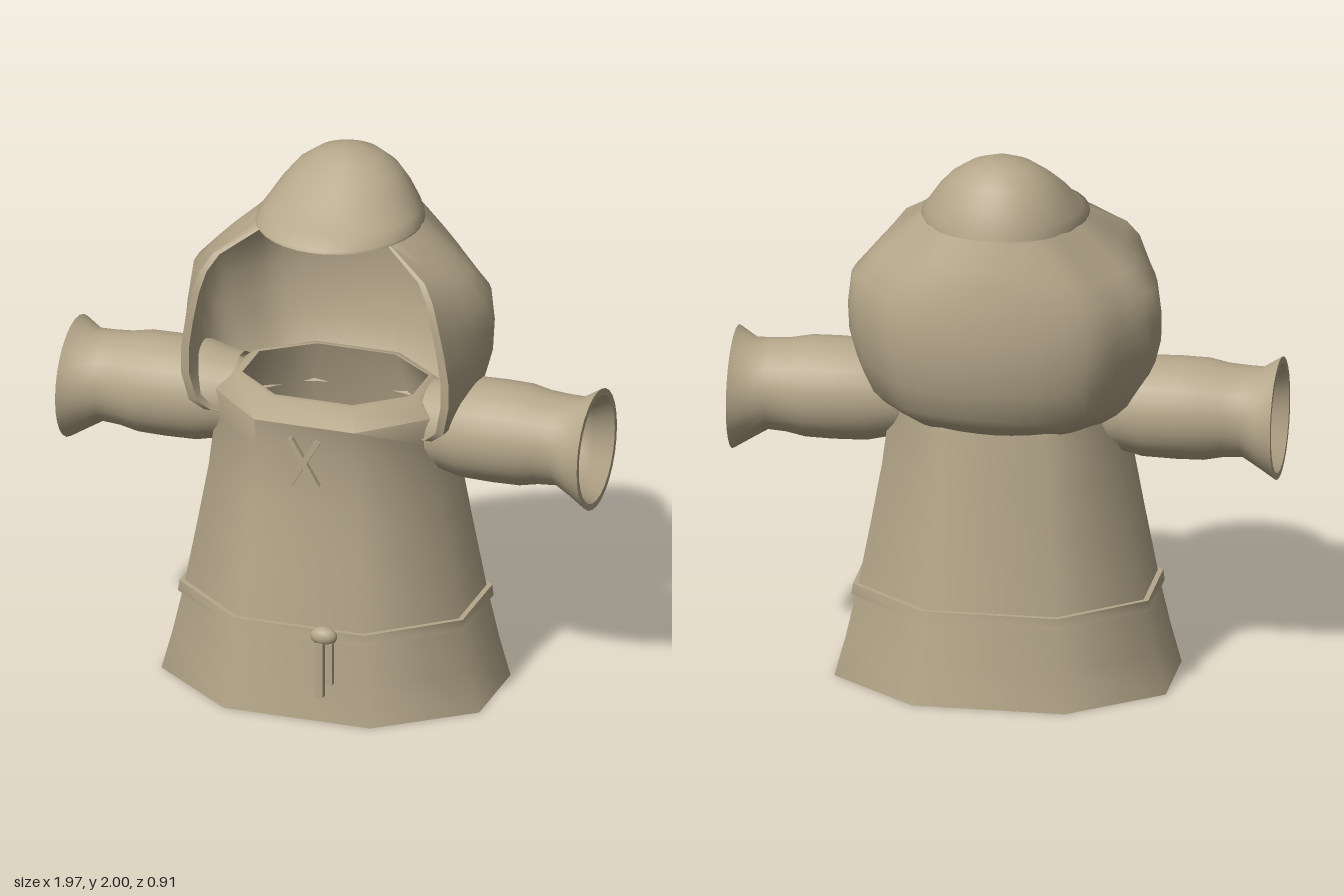
import * as THREE from 'three';
import { toCreasedNormals } from 'three/addons/utils/BufferGeometryUtils.js';

const cloth = new THREE.MeshStandardMaterial({ color: 0xb5a78a, side: THREE.DoubleSide });
cloth.name = 'khakiCloth';

// Skin a list of equal-length closed rings.
function loft(rings, crease = 1.0) {
  const n = rings[0].length;
  const index = [];
  for (let i = 0; i < rings.length - 1; i++) {
    for (let j = 0; j < n; j++) {
      const a = i * n + j, b = i * n + (j + 1) % n;
      index.push(a, b, a + n, b, b + n, a + n);
    }
  }
  const g = new THREE.BufferGeometry();
  g.setAttribute('position', new THREE.Float32BufferAttribute(rings.flat().flatMap((p) => [p.x, p.y, p.z]), 3));
  g.setIndex(index);
  return toCreasedNormals(g, crease);
}

// Eight-sided ring for robe and belt.
function octagon([y, a, zf, zb]) {
  const half = [[0.46 * a, zf], [a, 0.4 * zf], [a, 0.4 * zb], [0.46 * a, zb]];
  const other = half.map(([x, z]) => [-x, z]).reverse();
  return [...half, ...other].map(([x, z]) => new THREE.Vector3(x, y, z));
}

// Oval ring for the hood top.
function oval([y, w, zf, zb]) {
  const c = (zf + zb) / 2, r = (zf - zb) / 2;
  return Array.from({ length: 36 }, (_, i) => {
    const t = (i / 36) * Math.PI * 2;
    return new THREE.Vector3(w * Math.sin(t), y, c + r * Math.cos(t));
  });
}

// Thick C-shaped ring for the open-fronted part of the hood.
function hoodRing([y, e, ze, w, zb]) {
  const half = [[e, ze], [w, -0.1], [0.84 * w, 0.57 * zb], [0.62 * w, 0.85 * zb]];
  const pts = [...half, [0, zb], ...half.map(([x, z]) => [-x, z]).reverse()];
  const curve = new THREE.CatmullRomCurve3(pts.map(([x, z]) => new THREE.Vector3(x, y, z)));
  const outer = curve.getPoints(32);
  const inner = outer.map((p) => new THREE.Vector3(
    p.x * 0.94, y, p.z > -0.1 ? p.z : -0.1 + (p.z + 0.1) * 0.93)).reverse();
  return [...outer, ...inner];
}

export function createModel() {
  const model = new THREE.Group();
  const add = (name, geometry, parent = model) => {
    const mesh = new THREE.Mesh(geometry, cloth);
    mesh.name = name;
    parent.add(mesh);
    return mesh;
  };

  // Robe: outer wall up to the sloping neck, then back down inside.
  const outer = [
    [0, 0.6, 0.43, -0.43], [0.15, 0.56, 0.415, -0.41], [0.33, 0.52, 0.395, -0.385],
    [0.6, 0.47, 0.365, -0.35], [0.8, 0.435, 0.34, -0.325], [1.0, 0.41, 0.335, -0.3],
    [1.11, 0.41, 0.35, -0.28],
  ];
  const inner = outer.map(([y, a, f, b]) => [y, a - 0.025, f - 0.025, b + 0.025]).reverse();
  add('robe', loft([...outer, [1.17, 0.34, 0.27, -0.24], [1.17, 0.32, 0.245, -0.22],
    ...inner.slice(1), outer[0]].map(octagon)));

  // Belt band
  add('belt', loft([[0.31, 0.51, 0.385, -0.375], [0.31, 0.54, 0.415, -0.405],
    [0.35, 0.535, 0.41, -0.4], [0.35, 0.505, 0.38, -0.37]].map(octagon)));

  // Hood: open-fronted sides and back
  const hood = new THREE.Group();
  hood.name = 'hood';
  model.add(hood);
  add('hoodSides', loft([
    [1.0, 0.34, 0.1, 0.38, -0.3], [1.05, 0.43, 0.2, 0.45, -0.37],
    [1.09, 0.48, 0.22, 0.49, -0.4], [1.2, 0.505, 0.235, 0.53, -0.435],
    [1.3, 0.505, 0.235, 0.558, -0.45], [1.4, 0.49, 0.235, 0.563, -0.455],
    [1.52, 0.465, 0.235, 0.55, -0.44], [1.6, 0.44, 0.22, 0.475, -0.425],
    [1.66, 0.4, 0.19, 0.415, -0.41], [1.765, 0.24, 0.12, 0.3, -0.375],
  ].map(hoodRing)), hood);

  // Hood top with its brim, lined inside
  add('hoodTop', loft([
    [1.94, 0, -0.15, -0.15], [1.92, 0.08, -0.06, -0.22], [1.85, 0.2, 0.05, -0.3],
    [1.757, 0.27, 0.13, -0.345], [1.76, 0.3, 0.28, -0.375], [1.77, 0.3, 0.275, -0.372],
    [1.8, 0.28, 0.2, -0.365], [1.87, 0.235, 0.11, -0.335], [1.93, 0.185, 0.02, -0.295],
    [1.975, 0.12, -0.04, -0.25], [1.997, 0.05, -0.09, -0.2], [2.0, 0, -0.15, -0.15],
  ].map(oval)), hood);

  // Sleeves: hollow flared tubes lying along x
  const sleeveProfile = [
    [0.155, 0.36], [0.165, 0.42], [0.183, 0.5], [0.186, 0.62], [0.184, 0.72], [0.17, 0.79],
    [0.165, 0.86], [0.182, 0.92], [0.222, 0.985], [0.198, 0.985], [0.162, 0.92],
    [0.143, 0.86], [0.155, 0.7], [0.15, 0.5], [0.13, 0.36],
  ].map(([r, x]) => new THREE.Vector2(r, x));
  for (const side of [1, -1]) {
    const g = new THREE.LatheGeometry(sleeveProfile, 28);
    g.rotateZ(-side * Math.PI / 2);
    // Lift the arm slightly above the cuff centre
    const p = g.attributes.position;
    for (let i = 0; i < p.count; i++) {
      if (Math.abs(p.getX(i)) < 0.9) p.setY(i, p.getY(i) + 0.02);
    }
    add(side > 0 ? 'leftSleeve' : 'rightSleeve', toCreasedNormals(g, 1.0)).position.y = 1.015;
  }

  // Crossed stitches on the chest
  for (const s of [1, -1]) {
    const bar = add('chestStitch', new THREE.BoxGeometry(0.022, 0.205, 0.02));
    bar.position.set(0, 0.97, 0.355);
    bar.rotation.z = s * 0.53;
  }

  // Belt bead and hanging cord ends
  const bead = add('beltBead', new THREE.SphereGeometry(1, 20, 14));
  bead.scale.set(0.05, 0.035, 0.032);
  bead.position.set(0.1, 0.335, 0.425);
  add('longCord', new THREE.BoxGeometry(0.026, 0.21, 0.026)).position.set(0.093, 0.21, 0.443);
  add('shortCord', new THREE.BoxGeometry(0.026, 0.16, 0.026)).position.set(0.125, 0.235, 0.435);

  return model;
}
